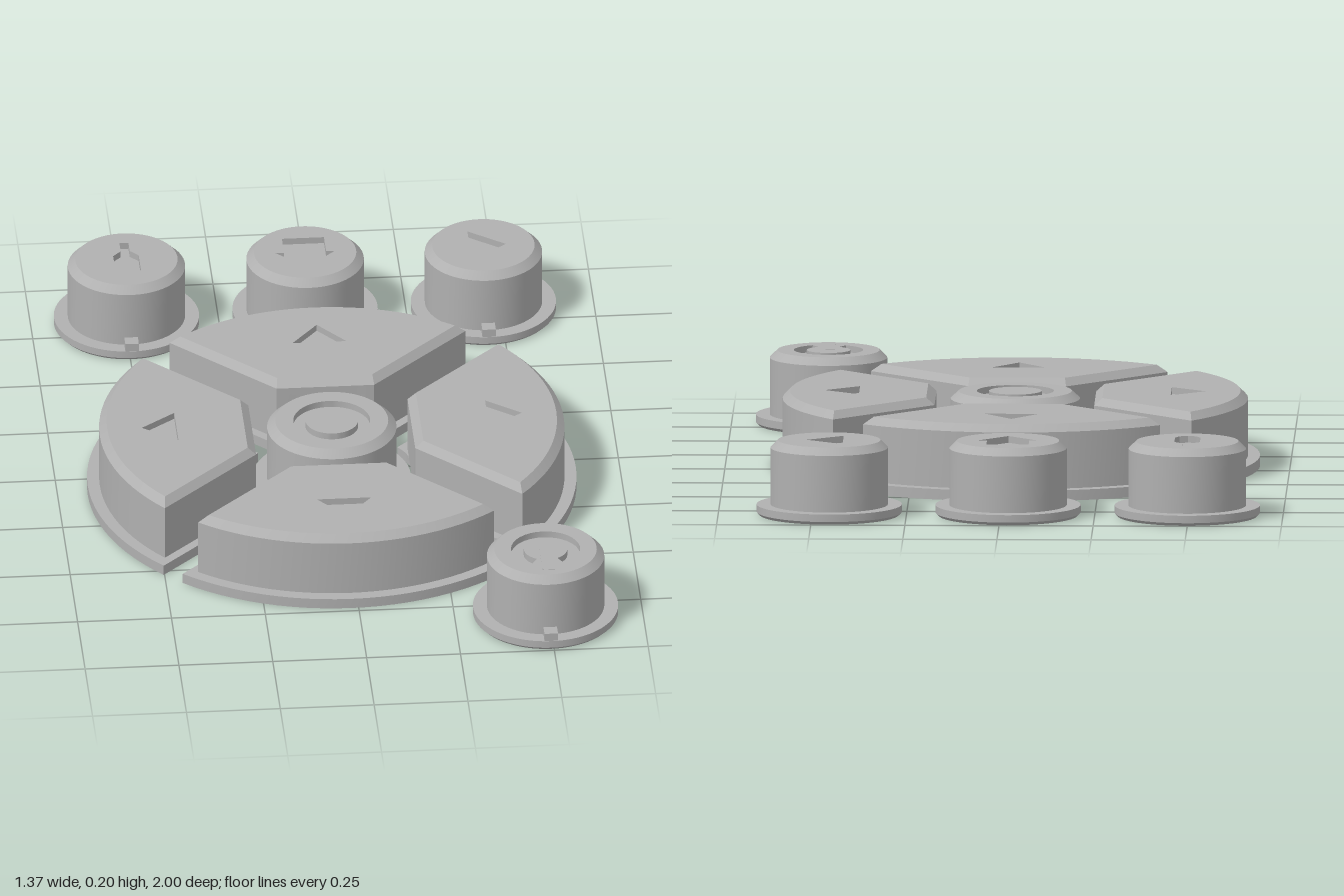
import * as THREE from 'three';
import { mergeGeometries, toCreasedNormals } from 'three/addons/utils/BufferGeometryUtils.js';

const TOP = 0.2, CHAMFER = 0.18, FLANGE = 0.028, ENGRAVE = 0.018, SOCKET = 0.12;
const v = (x, y) => new THREE.Vector2(x, y); // plan view: x right, y towards the back
const pts = list => list.map(([x, y]) => v(x, y));

function circle(r, n = 64, cx = 0) {
  return Array.from({ length: n }, (_, i) => {
    const a = (i / n) * Math.PI * 2;
    return v(cx + r * Math.cos(a), r * Math.sin(a));
  });
}

// Wall through a stack of equal-length outlines: [[outline, height], ...]
function loft(rings) {
  const pos = [];
  for (let k = 0; k + 1 < rings.length; k++) {
    const [lo, y0] = rings[k], [hi, y1] = rings[k + 1], n = lo.length;
    for (let i = 0; i < n; i++) {
      const j = (i + 1) % n;
      const a = [lo[i].x, y0, -lo[i].y], b = [lo[j].x, y0, -lo[j].y];
      const c = [hi[j].x, y1, -hi[j].y], d = [hi[i].x, y1, -hi[i].y];
      pos.push(...a, ...b, ...c, ...a, ...c, ...d);
    }
  }
  const g = new THREE.BufferGeometry();
  g.setAttribute('position', new THREE.Float32BufferAttribute(pos, 3));
  return g;
}

// Flat face with optional holes, looking up or down
function cap(outline, y, holes = [], up = true) {
  const s = new THREE.Shape(outline);
  s.holes = holes.map(h => new THREE.Path(h));
  const g = new THREE.ShapeGeometry(s);
  if (!up) g.setIndex(Array.from(g.index.array).reverse());
  g.rotateX(-Math.PI / 2).translate(0, y, 0);
  const flat = g.toNonIndexed();
  flat.deleteAttribute('uv');
  flat.deleteAttribute('normal');
  return flat;
}

// Key: stacked outlines, engraved symbol on top, socket underneath
function keyGeometry(rings, symbol, island, socketX = 0) {
  const socket = circle(0.072, 8, socketX), floor = TOP - ENGRAVE;
  const parts = [
    loft(rings),
    cap(rings[0][0], 0, [socket], false),
    loft([[socket, SOCKET], [socket, 0]]),
    cap(socket, SOCKET, [], false),
    cap(rings[rings.length - 1][0], TOP, [symbol]),
    loft([[symbol, TOP], [symbol, floor]]),
    cap(symbol, floor, island ? [island] : []),
  ];
  if (island) parts.push(loft([[island, floor], [island, TOP]]), cap(island, TOP));
  return toCreasedNormals(mergeGeometries(parts), 0.5);
}

function roundKey(flange, body, top, symbol, island) {
  return keyGeometry([
    [circle(flange - 0.008), 0], [circle(flange), 0.008], [circle(flange), FLANGE],
    [circle(body), FLANGE], [circle(body), CHAMFER], [circle(top), TOP],
  ], symbol, island);
}

// Quarter outline facing +x: sides inset from the diagonals, arc outside,
// and either a round (flange) or a straight (body) inner edge
function quarter(inset, R, inner, round) {
  const n = 24, out = [], h = Math.SQRT1_2;
  const aOut = Math.PI / 4 - Math.asin(inset / R);
  for (let i = 0; i <= n; i++) {
    const a = -aOut + (2 * aOut * i) / n;
    out.push(v(R * Math.cos(a), R * Math.sin(a)));
  }
  const aIn = Math.PI / 4 - Math.asin(inset / inner);
  const half = inner - inset / h;
  for (let i = 0; i <= n; i++) {
    const t = 1 - (2 * i) / n;
    out.push(round ? v(inner * Math.cos(aIn * t), inner * Math.sin(aIn * t)) : v(inner, half * t));
  }
  return out;
}

// Broken ring joined to a stem
function powerSymbol() {
  const out = [], n = 28, gap = 0.5, start = -Math.PI / 2 + gap, sweep = Math.PI * 2 - 2 * gap;
  for (let i = 0; i <= n; i++) {
    const a = start + (sweep * i) / n;
    out.push(v(0.092 * Math.cos(a), 0.092 * Math.sin(a)));
  }
  for (let i = n; i >= 0; i--) {
    const a = start + (sweep * i) / n;
    out.push(v(0.058 * Math.cos(a), 0.058 * Math.sin(a)));
  }
  return out;
}

export function createModel() {
  const model = new THREE.Group();
  const grey = new THREE.MeshStandardMaterial({ color: 0xb0b0b0 });
  grey.name = 'grey plastic';

  function add(name, geometry, x, z, parent = model) {
    const mesh = new THREE.Mesh(geometry, grey);
    mesh.name = name;
    mesh.position.set(x, 0, z);
    parent.add(mesh);
    return mesh;
  }

  // Direction pad: four quarter keys around a round centre key
  const pad = new THREE.Group();
  pad.name = 'directionPad';
  pad.position.set(-0.02, 0, 0.085);
  model.add(pad);
  const foot = quarter(0.033, 0.65, 0.232, true);
  const body = quarter(0.058, 0.618, 0.212, false);
  const face = quarter(0.076, 0.598, 0.234, false);
  const arrow = pts([[0.414, -0.072], [0.506, 0], [0.414, 0.072]]);
  const quarterGeometry = keyGeometry([
    [foot, 0], [foot, FLANGE], [body, FLANGE], [body, CHAMFER], [face, TOP],
  ], arrow, null, 0.46);
  ['rightKey', 'backKey', 'leftKey', 'frontKey'].forEach((name, i) => {
    add(name, quarterGeometry, 0, 0, pad).rotation.y = (i * Math.PI) / 2;
  });
  add('centreKey', roundKey(0.21, 0.172, 0.15, circle(0.102), circle(0.07)), 0, 0, pad);

  // Small round keys, each with a locating tab at the front
  const bottle = pts([[0.012, 0.085], [-0.012, 0.085], [-0.012, 0.042], [-0.034, 0.018],
    [-0.034, -0.058], [-0.022, -0.084], [0, -0.092], [0.022, -0.084], [0.034, -0.058],
    [0.034, 0.018], [0.012, 0.042]]);
  const downArrow = pts([[0.056, 0.074], [-0.056, 0.074], [-0.056, 0], [-0.079, 0],
    [0, -0.079], [0.079, 0], [0.056, 0]]);
  const play = pts([[-0.037, 0.074], [-0.037, -0.074], [0.06, 0]]);
  const smallKeys = [
    ['bottleKey', bottle, -0.496, -0.807],
    ['downArrowKey', downArrow, -0.02, -0.807],
    ['playKey', play, 0.455, -0.807],
    ['powerKey', powerSymbol(), 0.492, 0.807],
  ];
  for (const [name, symbol, x, z] of smallKeys) {
    const key = add(name, roundKey(0.193, 0.156, 0.136, symbol), x, z);
    // Stem of the power symbol, marked on the face
    if (name === 'powerKey') {
      const stem = new THREE.BoxGeometry(0.034, 0.004, 0.11);
      add('powerStem', stem, 0, 0.055, key).position.y = TOP - 0.001;
    }
    const tab = new THREE.BoxGeometry(0.036, 0.04, 0.05);
    add('locatingTab', tab, 0, 0.166, key).position.y = 0.03;
  }
  return model;
}
